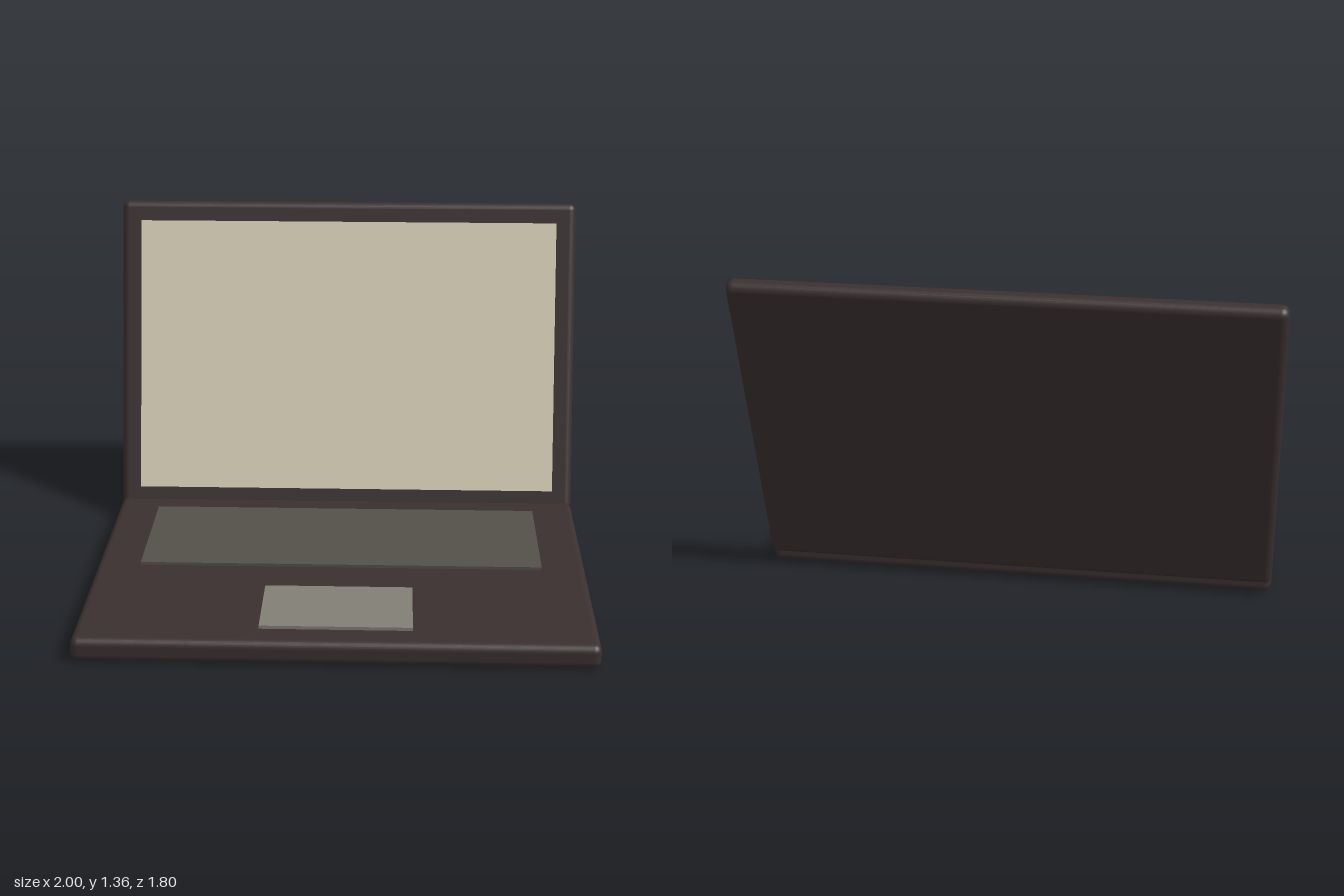
import * as THREE from 'three';
import { RoundedBoxGeometry } from 'three/addons/geometries/RoundedBoxGeometry.js';

function material(name, color) {
  const m = new THREE.MeshStandardMaterial({ color });
  m.name = name;
  return m;
}

function part(name, geometry, mat, x, y, z) {
  const mesh = new THREE.Mesh(geometry, mat);
  mesh.name = name;
  mesh.position.set(x, y, z);
  return mesh;
}

export function createModel() {
  const shell = material('dark brown shell', 0x3a3030);
  const cream = material('cream screen', 0xd8cfb8);
  const keys = material('grey keyboard', 0x54514a);
  const pad = material('light grey trackpad', 0x827f76);

  const laptop = new THREE.Group();
  laptop.name = 'laptop';

  // Base with keyboard and trackpad plates on its deck
  laptop.add(
    part('base', new RoundedBoxGeometry(2, 0.094, 1.41, 3, 0.03), shell, 0, 0.047, 0.195),
    part('keyboard', new THREE.BoxGeometry(1.64, 0.014, 0.585), keys, 0, 0.099, -0.07),
    part('trackpad', new THREE.BoxGeometry(0.586, 0.014, 0.355), pad, 0, 0.1, 0.607)
  );

  // Lid leaning back, carrying the raised screen panel
  const lid = new THREE.Group();
  lid.name = 'lid';
  lid.position.set(0, 0.708, -0.69);
  lid.rotation.x = -THREE.MathUtils.degToRad(16);
  lid.add(
    part('lidShell', new RoundedBoxGeometry(2, 1.352, 0.07, 3, 0.03), shell, 0, 0, 0),
    part('screen', new THREE.BoxGeometry(1.825, 1.18, 0.022), cream, 0, -0.002, 0.045)
  );
  laptop.add(lid);

  return laptop;
}
